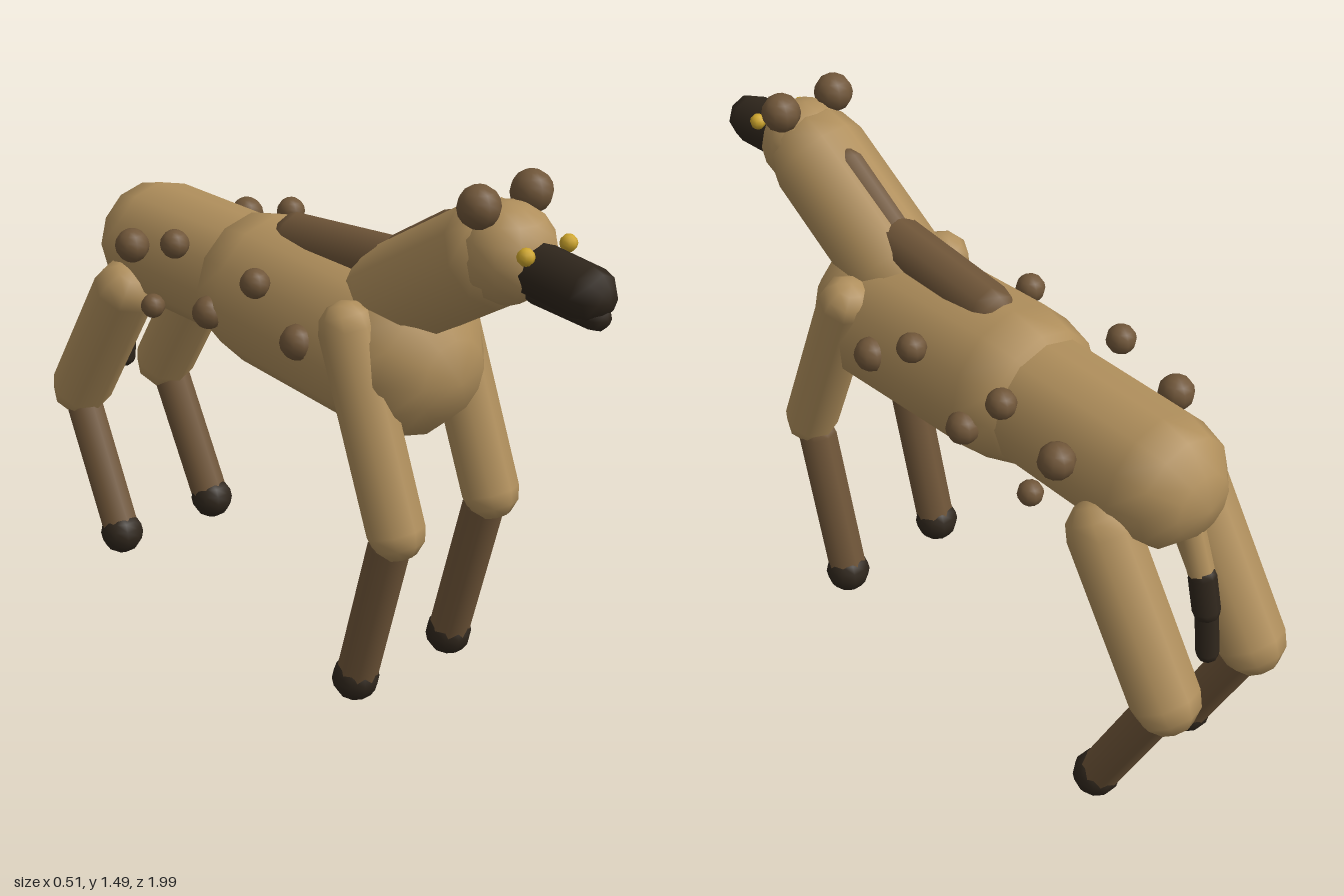
import * as THREE from 'three';

const mat = (name, color) => {
  const m = new THREE.MeshStandardMaterial({ color });
  m.name = name;
  return m;
};

export function createModel() {
  const model = new THREE.Group();
  model.name = 'hyena';
  const tan = mat('tan fur', 0xb08f5c);
  const brown = mat('brown fur', 0x705639);
  const dark = mat('dark muzzle and paws', 0x2f261c);
  const gold = mat('gold eyes', 0xcda52c);
  const UP = new THREE.Vector3(0, 1, 0);

  // Capsule whose end-sphere centres are a and b
  function limb(name, material, a, b, r, sides = 8) {
    const p = new THREE.Vector3(...a), q = new THREE.Vector3(...b);
    const d = q.clone().sub(p);
    const mesh = new THREE.Mesh(new THREE.CapsuleGeometry(r, d.length(), 3, sides), material);
    mesh.position.copy(p).add(q).multiplyScalar(0.5);
    mesh.quaternion.setFromUnitVectors(UP, d.normalize());
    mesh.name = name;
    model.add(mesh);
    return mesh;
  }

  function ball(name, material, pos, r, w = 10, h = 8) {
    const mesh = new THREE.Mesh(new THREE.SphereGeometry(r, w, h), material);
    mesh.position.set(...pos);
    mesh.name = name;
    model.add(mesh);
    return mesh;
  }

  // Body, neck and head
  limb('chest', tan, [0, 0.975, -0.17], [0, 0.945, 0.33], 0.215, 12);
  limb('hips', tan, [0, 0.975, -0.68], [0, 0.975, -0.15], 0.176, 12);
  limb('neck', tan, [0, 1.095, 0.3], [0, 1.295, 0.62], 0.137, 10);
  ball('head', tan, [0, 1.315, 0.675], 0.125, 12, 8);

  // Muzzle
  limb('snout', dark, [0, 1.303, 0.76], [0, 1.287, 0.928], 0.068);
  limb('lowerJaw', dark, [0, 1.25, 0.78], [0, 1.24, 0.955], 0.036);

  // Mane along neck and back
  limb('neckMane', brown, [0, 1.18, 0.27], [0, 1.322, 0.495], 0.052);
  limb('backMane', brown, [0, 1.15, -0.07], [0, 1.185, 0.29], 0.068);

  // Tail
  limb('tailBase', tan, [0, 0.92, -0.79], [0, 0.775, -0.845], 0.034);
  limb('tailBrush', dark, [0, 0.765, -0.85], [0, 0.67, -0.873], 0.036);
  limb('tailTip', dark, [0, 0.66, -0.875], [0, 0.54, -0.89], 0.03);

  // Flank spots: y, z, radius
  const spots = [
    [0.98, 0.162, 0.047], [1.09, -0.005, 0.04], [0.95, -0.202, 0.045],
    [1.105, -0.343, 0.04], [0.893, -0.453, 0.034], [1.047, -0.54, 0.048],
  ];

  for (const [side, s] of [['left', 1], ['right', -1]]) {
    ball(side + 'Ear', brown, [s * 0.088, 1.443, 0.664], 0.053);
    ball(side + 'Eye', gold, [s * 0.072, 1.355, 0.8], 0.022, 8, 6);

    // Front leg
    limb(side + 'FrontUpperLeg', tan, [s * 0.168, 1.05, 0.31], [s * 0.17, 0.56, 0.498], 0.076);
    limb(side + 'FrontLowerLeg', brown, [s * 0.17, 0.51, 0.475], [s * 0.172, 0.08, 0.362], 0.056);
    ball(side + 'FrontPaw', dark, [s * 0.174, 0.066, 0.358], 0.064);

    // Hind leg
    limb(side + 'HindUpperLeg', tan, [s * 0.155, 0.87, -0.655], [s * 0.157, 0.485, -0.9], 0.092);
    limb(side + 'HindLowerLeg', brown, [s * 0.165, 0.46, -0.895], [s * 0.172, 0.085, -0.713], 0.056);
    ball(side + 'HindPaw', dark, [s * 0.174, 0.066, -0.702], 0.064);

    spots.forEach(([y, z, r], i) => ball(side + 'Spot' + (i + 1), brown, [s * 0.205, y, z], r));
  }
  return model;
}
